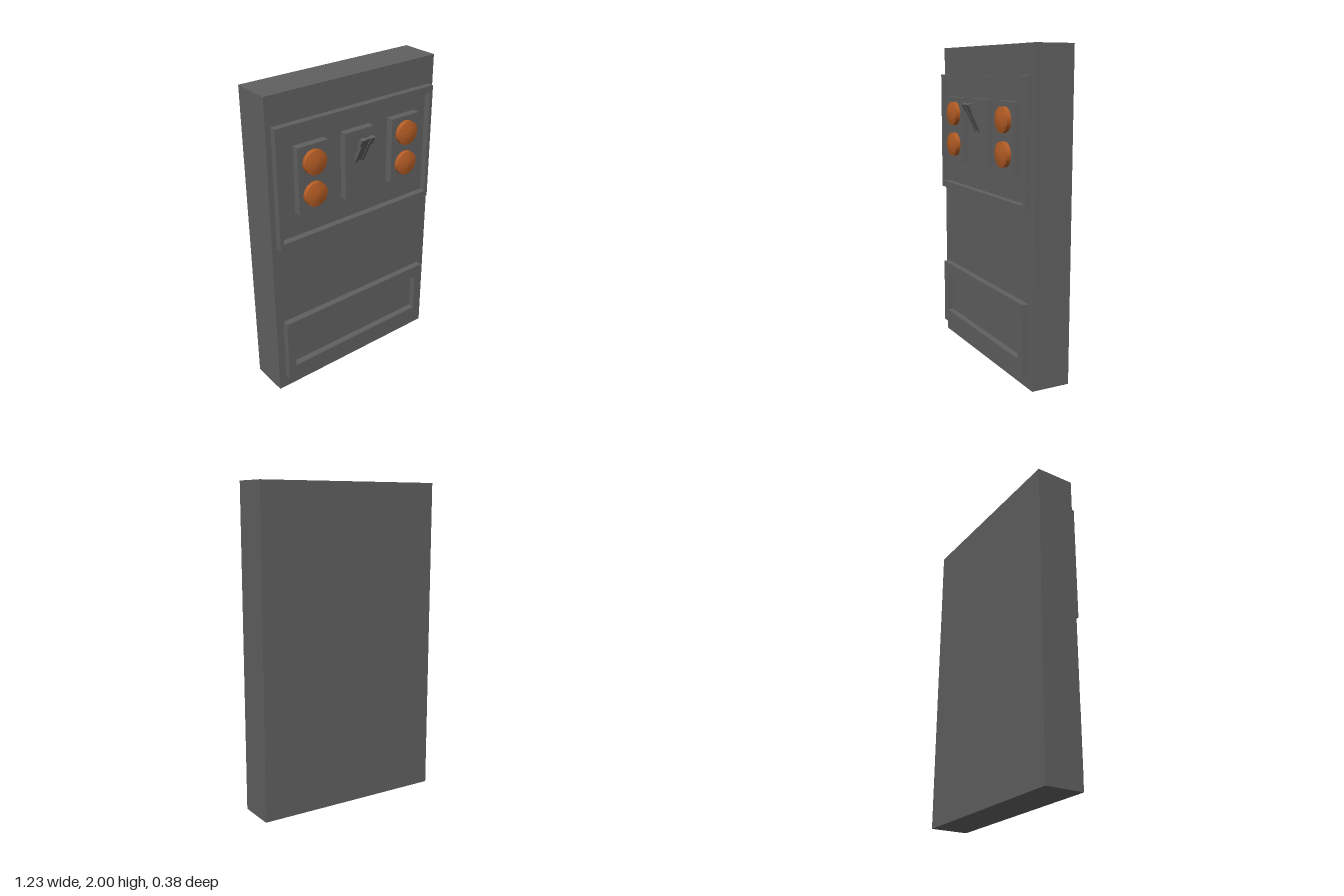
import * as THREE from 'three';

const darkGrey = new THREE.MeshStandardMaterial({ color: 0x606060 });
const orange = new THREE.MeshStandardMaterial({ color: 0xb45c24 });

const BODY_FRONT = 0.056;

function addMesh(parent, name, geometry, material, x = 0, y = 0, z = 0) {
  const mesh = new THREE.Mesh(geometry, material);
  mesh.name = name;
  mesh.position.set(x, y, z);
  parent.add(mesh);
  return mesh;
}

// Box given by its limits on each axis
function addBlock(parent, name, x0, x1, y0, y1, z0, z1) {
  const geometry = new THREE.BoxGeometry(x1 - x0, y1 - y0, z1 - z0);
  return addMesh(parent, name, geometry, darkGrey, (x0 + x1) / 2, (y0 + y1) / 2, (z0 + z1) / 2);
}

function rectangle(target, halfWidth, y0, y1) {
  target.moveTo(-halfWidth, y0);
  target.lineTo(halfWidth, y0);
  target.lineTo(halfWidth, y1);
  target.lineTo(-halfWidth, y1);
  target.closePath();
  return target;
}

// Raised rectangular border standing on the front of the body
function addFrame(parent, name, outer, inner) {
  const shape = rectangle(new THREE.Shape(), ...outer);
  shape.holes.push(rectangle(new THREE.Path(), ...inner));
  const geometry = new THREE.ExtrudeGeometry(shape, { depth: 0.098 - BODY_FRONT, bevelEnabled: false });
  addMesh(parent, name, geometry, darkGrey, 0, 0, BODY_FRONT);
}

// Round push button: straight rim, narrow ledge, and a shallow cap; separate pieces keep the edges sharp
const buttonParts = Object.entries({
  buttonRim: [[0.076, 0], [0.076, 0.031]],
  buttonLedge: [[0.076, 0.031], [0.064, 0.034]],
  buttonStep: [[0.064, 0.034], [0.064, 0.037]],
  buttonCap: [[0.064, 0.037], [0.04, 0.043], [0.018, 0.047], [0, 0.048]],
}).map(([name, profile]) => {
  const points = profile.map(([r, h]) => new THREE.Vector2(r, h));
  return [name, new THREE.LatheGeometry(points, 32).rotateX(Math.PI / 2)];
});

function createButton(x, y) {
  const button = new THREE.Group();
  button.name = 'button';
  button.position.set(x, y, 0.102);
  for (const [name, geometry] of buttonParts) addMesh(button, name, geometry, orange);
  return button;
}

// Tilted toggle lever with a grooved stem and a wider grip
function createToggle() {
  const toggle = new THREE.Group();
  toggle.name = 'toggleSwitch';
  for (const side of [-1, 1]) {
    const x = side * 0.024;
    addBlock(toggle, 'toggleProng', x - 0.01, x + 0.01, 0, 0.17, -0.01, 0.009);
    const gx = side * 0.034;
    addBlock(toggle, 'toggleGrip', gx - 0.016, gx + 0.016, 0.142, 0.192, -0.012, 0.01);
  }
  addBlock(toggle, 'toggleWeb', -0.018, 0.018, 0.01, 0.19, -0.009, 0.005);
  toggle.position.set(-0.004, 1.478, 0.096);
  toggle.rotation.x = 0.46;
  return toggle;
}

export function createModel() {
  const model = new THREE.Group();
  model.name = 'wallControlPanel';

  addBlock(model, 'body', -0.616, 0.616, 0, 2, -0.192, BODY_FRONT);
  addFrame(model, 'upperFrame', [0.582, 1.058, 1.822], [0.558, 1.1, 1.78]);
  addFrame(model, 'lowerFrame', [0.565, 0.09, 0.52], [0.51, 0.175, 0.44]);

  // Three raised plates inside the upper frame
  for (const x of [-0.338, -0.001, 0.356]) {
    addBlock(model, 'plate', x - 0.106, x + 0.106, 1.253, 1.678, BODY_FRONT, 0.104);
  }

  // Two buttons on each outer plate
  for (const x of [-0.338, 0.356]) {
    for (const y of [1.372, 1.573]) model.add(createButton(x, y));
  }

  model.add(createToggle());
  return model;
}
